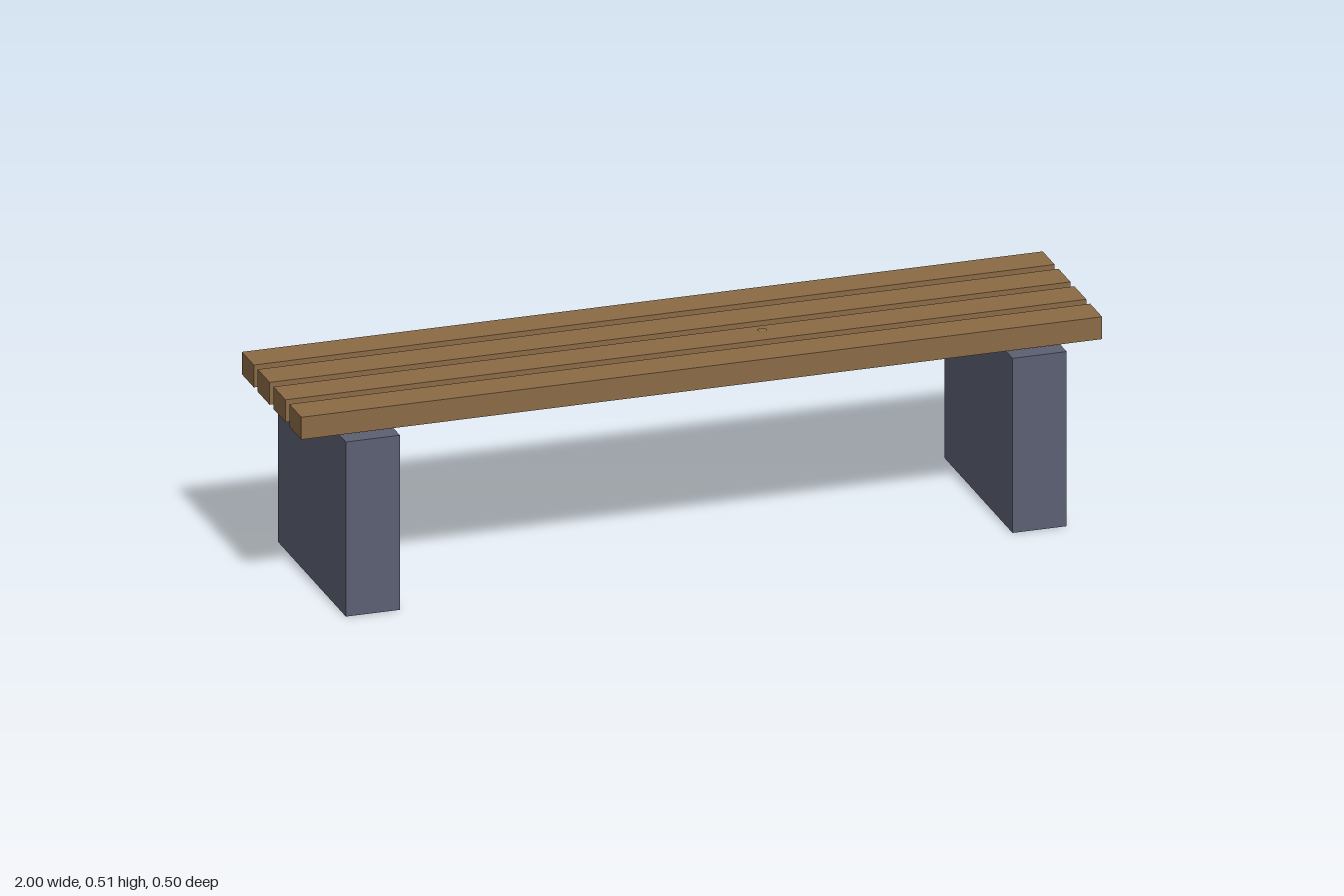
import * as THREE from 'three';

const wood = new THREE.MeshStandardMaterial({ color: 0x8a6a45, side: THREE.DoubleSide, flatShading: true });
const stone = new THREE.MeshStandardMaterial({ color: 0x5c5f72, side: THREE.DoubleSide, flatShading: true });

// Box shell without its underside, standing on its own y = 0
function openBox(width, height, depth) {
  const geometry = new THREE.BoxGeometry(width, height, depth);
  const index = Array.from(geometry.index.array);
  index.splice(18, 6); // the two triangles of the bottom face
  geometry.setIndex(index);
  geometry.clearGroups();
  return geometry.translate(0, height / 2, 0);
}

function addPart(group, name, geometry, material, x, y, z) {
  const mesh = new THREE.Mesh(geometry, material);
  mesh.name = name;
  mesh.position.set(x, y, z);
  group.add(mesh);
}

export function createModel() {
  const bench = new THREE.Group();
  bench.name = 'bench';

  // Two slab legs, mirrored across the middle
  const leg = openBox(0.135, 0.445, 0.502);
  for (const side of [-1, 1]) {
    addPart(bench, side > 0 ? 'leftLeg' : 'rightLeg', leg, stone, side * 0.8325, 0, 0);
  }

  // Four seat slats, evenly spaced, just clear of the legs
  const slat = openBox(2, 0.057, 0.088);
  for (let i = 0; i < 4; i++) {
    addPart(bench, `seatSlat${i + 1}`, slat, wood, 0, 0.451, 0.173 - i * 0.117);
  }

  // Tiny flat stud on the second slat
  const stud = new THREE.CylinderGeometry(0.006, 0.012, 0.002, 8);
  addPart(bench, 'stud', stud, wood, 0.21, 0.511, 0.043);

  return bench;
}
